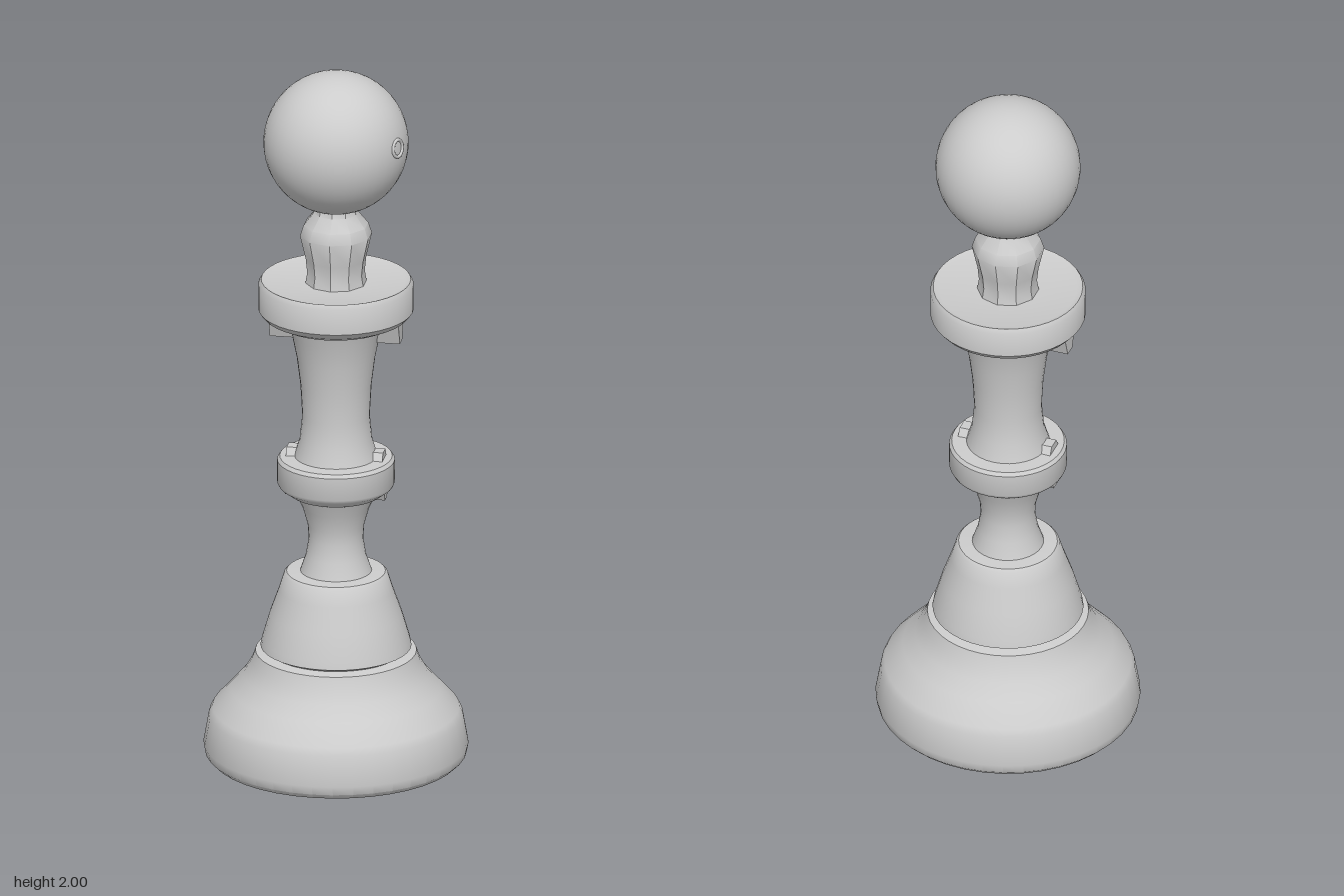
import * as THREE from 'three';
import { toCreasedNormals } from 'three/addons/utils/BufferGeometryUtils.js';

export function createModel() {
  const group = new THREE.Group();
  const stone = new THREE.MeshStandardMaterial({ color: 0xcccccc });
  stone.name = 'light grey';

  const add = (name, geometry) => {
    const mesh = new THREE.Mesh(geometry, stone);
    mesh.name = name;
    group.add(mesh);
    return mesh;
  };

  // Turned part from [radius, height] pairs, listed bottom to top
  const turned = (name, profile, sides = 40) => {
    const points = profile.map(([r, y]) => new THREE.Vector2(r, y));
    return add(name, toCreasedNormals(new THREE.LatheGeometry(points, sides), 0.6));
  };

  turned('base', [[0, 0], [0.345, 0], [0.36, 0.015], [0.365, 0.04], [0.35, 0.125], [0.34, 0.145],
    [0.29, 0.2], [0.255, 0.24], [0.232, 0.28], [0.222, 0.31], [0.19, 0.315]]);
  turned('skirt', [[0.19, 0.315], [0.208, 0.325], [0.204, 0.345], [0.182, 0.42], [0.157, 0.49],
    [0.143, 0.535], [0.136, 0.542], [0.09, 0.545]]);
  turned('lowerStem', [[0.1, 0.54], [0.083, 0.59], [0.075, 0.64], [0.078, 0.68], [0.092, 0.73], [0.112, 0.775]], 32);
  turned('lowerRing', [[0.105, 0.765], [0.13, 0.775], [0.157, 0.795], [0.162, 0.805], [0.162, 0.87],
    [0.155, 0.88], [0.09, 0.882]]);
  turned('column', [[0.115, 0.88], [0.1, 0.93], [0.093, 1.0], [0.098, 1.09], [0.108, 1.17], [0.122, 1.24], [0.135, 1.28]], 32);
  turned('upperRing', [[0.125, 1.265], [0.17, 1.28], [0.2, 1.295], [0.214, 1.312], [0.214, 1.385],
    [0.206, 1.398], [0.19, 1.392], [0.05, 1.39]]);
  turned('neck', [[0.085, 1.39], [0.08, 1.42], [0.084, 1.46], [0.1, 1.53], [0.09, 1.56], [0.062, 1.595], [0.06, 1.63]], 10);

  // Round head
  add('head', new THREE.SphereGeometry(0.2, 40, 28)).position.y = 1.8;

  // Small raised ring on the side of the head
  const out = new THREE.Vector3(0.186, 0.02, 0.07).normalize();
  const stud = add('headRing', new THREE.TorusGeometry(0.024, 0.005, 8, 20));
  stud.position.copy(out).multiplyScalar(0.199);
  stud.position.y += 1.8;
  stud.quaternion.setFromUnitVectors(new THREE.Vector3(0, 0, 1), out);

  // Tapered lug: a trapezoid across z, given depth along x
  const lug = (name, side, x0, x1, yWide, yNarrow, wide, narrow) => {
    const shape = new THREE.Shape([[-wide, yWide], [wide, yWide], [narrow, yNarrow], [-narrow, yNarrow]]
      .map(([z, y]) => new THREE.Vector2(z, y)));
    const geometry = new THREE.ExtrudeGeometry(shape, { depth: x1 - x0, bevelEnabled: false });
    geometry.translate(0, 0, x0).rotateY(side * Math.PI / 2);
    add(name, geometry);
  };
  for (const side of [1, -1]) {
    lug('upperBracket', side, 0.115, 0.182, 1.3, 1.225, 0.045, 0.018);
    lug('lowerBracket', side, 0.1, 0.14, 0.8, 0.762, 0.035, 0.015);
    lug('ringLug', side, 0.09, 0.135, 0.875, 0.902, 0.035, 0.018);
  }

  return group;
}
